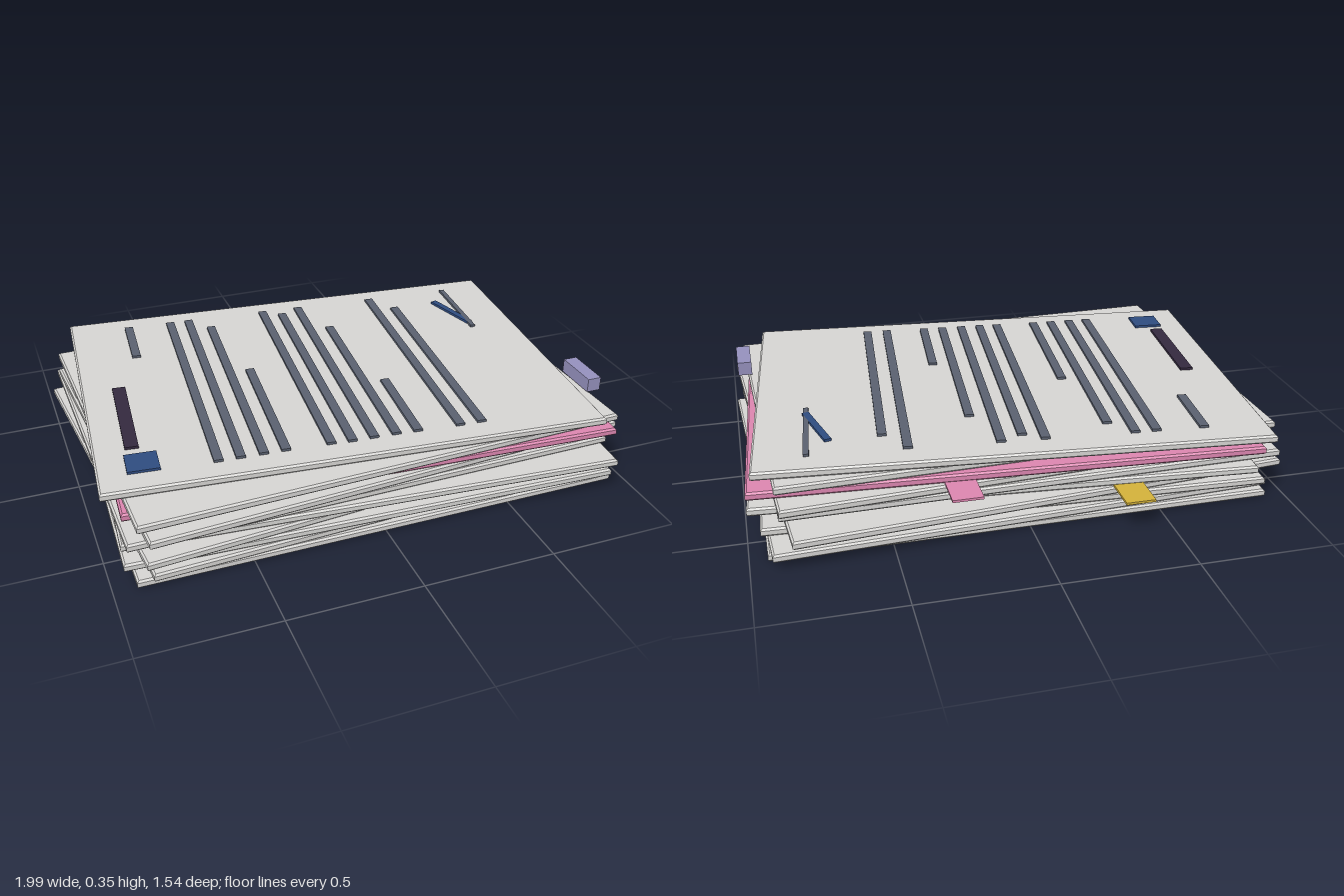
import * as THREE from 'three';

const mat = (name, color) => {
  const m = new THREE.MeshStandardMaterial({ color });
  m.name = name;
  return m;
};

export function createModel() {
  const paper = mat('paper', 0xd6d5d3);
  const pink = mat('pink', 0xdc86b0);
  const yellow = mat('yellow', 0xd4b23a);
  const lavender = mat('lavender', 0x9591bd);
  const ink = mat('ink', 0x5a6170);
  const blue = mat('blue', 0x2f4c80);
  const plum = mat('plum', 0x34293f);

  const group = new THREE.Group();
  group.name = 'paperStack';
  const add = (name, geometry, material, x, y, z, turn = 0) => {
    const mesh = new THREE.Mesh(geometry, material);
    mesh.name = name;
    mesh.position.set(x, y, z);
    mesh.rotation.y = turn;
    group.add(mesh);
  };

  // One sheet: a thin slab with chamfered edges, lying flat from y = 0
  const W = 1.857, D = 1.31, H = 0.031, PITCH = 0.0325, B = 0.007;
  const w = W / 2 - B, d = D / 2 - B;
  const outline = new THREE.Shape([
    new THREE.Vector2(-w, -d), new THREE.Vector2(w, -d),
    new THREE.Vector2(w, d), new THREE.Vector2(-w, d),
  ]);
  const sheet = new THREE.ExtrudeGeometry(outline, {
    depth: H - 2 * B, bevelThickness: B, bevelSize: B, bevelSegments: 1,
  });
  sheet.rotateX(-Math.PI / 2).translate(0, B, 0);

  // Untidy stack, bottom to top: x, z, turn
  [
    [0.01, 0.02, 0.004], [0.03, 0, 0.055], [0, 0.04, -0.038],
    [-0.015, -0.01, 0.087], [0.02, 0.045, -0.072], [-0.025, 0.012, 0.02],
    [0.008, 0.022, 0.07], [0.028, -0.003, -0.056], [-0.005, 0.04, 0.038],
    [-0.011, -0.017, -0.087],
  ].forEach(([x, z, turn], i) =>
    add(i === 7 ? 'pinkSheet' : 'sheet' + (i + 1), sheet, i === 7 ? pink : paper, x, i * PITCH, z, turn));

  // Raised strokes on the top sheet, from one end to the other
  const top = 9 * PITCH + H;
  const stroke = (name, material, width, x1, z1, x2, z2) => {
    const length = Math.hypot(x2 - x1, z2 - z1);
    add(name, new THREE.BoxGeometry(width, 0.0095, length), material,
      (x1 + x2) / 2, top + 0.0048, (z1 + z2) / 2, Math.atan2(x2 - x1, z2 - z1));
  };

  // Lines of writing: far end x, z and near end z, all parallel
  [
    [-0.647, -0.63, -0.36],
    [-0.47, -0.615, 0.5], [-0.391, -0.61, 0.505], [-0.316, -0.516, 0.51], [-0.272, -0.095, 0.515],
    [-0.064, -0.582, 0.53], [0.01, -0.533, 0.54], [0.095, -0.568, 0.545],
    [0.16, -0.34, 0.55], [0.198, 0.168, 0.558],
    [0.423, -0.538, 0.575], [0.497, -0.42, 0.58],
  ].forEach(([x, z1, z2], i) =>
    stroke('writingLine' + (i + 1), ink, 0.034, x, z1, x - (z2 - z1) * 0.087, z2));

  // Heading, stamp and signature strokes
  stroke('heading', plum, 0.05, -0.791, -0.125, -0.832, 0.313);
  stroke('stamp', blue, 0.115, -0.813, 0.36, -0.823, 0.472);
  stroke('signatureLine', ink, 0.02, 0.774, -0.512, 0.742, -0.138);
  stroke('signatureStroke', blue, 0.026, 0.688, -0.415, 0.747, -0.178);

  // Index tabs at the back and the clip on the right edge
  add('yellowTab', new THREE.BoxGeometry(0.11, 0.009, 0.17), yellow, -0.365, 0.1305, -0.685);
  add('pinkTab', new THREE.BoxGeometry(0.11, 0.009, 0.17), pink, 0.26, 0.2275, -0.685);
  add('edgeClip', new THREE.BoxGeometry(0.055, 0.054, 0.18), lavender, 0.948, 0.326, 0.395);
  return group;
}
